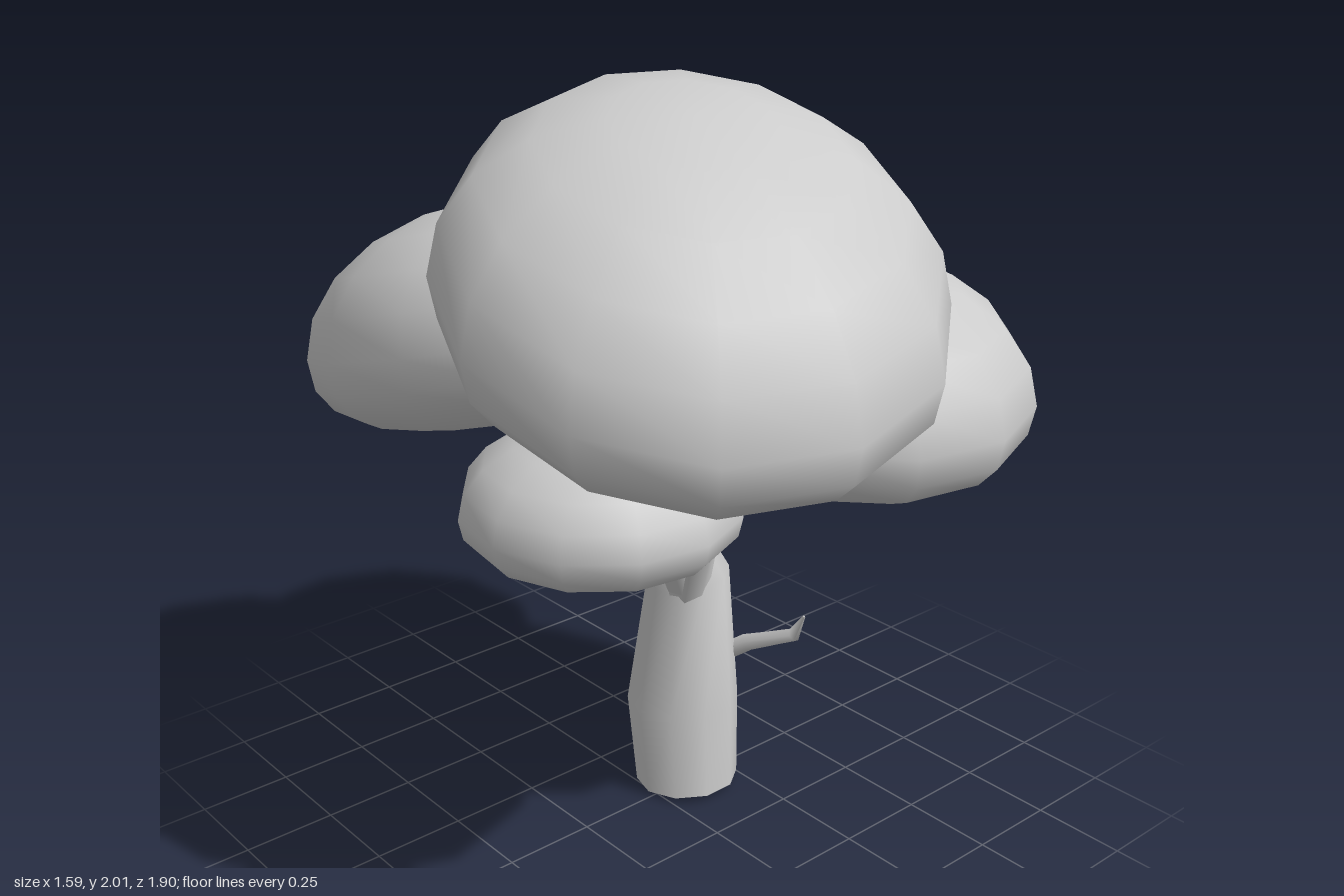
import * as THREE from 'three';
import { mergeVertices } from 'three/addons/utils/BufferGeometryUtils.js';

const UP = new THREE.Vector3(0, 1, 0);

function makeMesh(name, geometry, side = THREE.FrontSide) {
  const mesh = new THREE.Mesh(geometry, new THREE.MeshStandardMaterial({ color: 0xcccccc, side }));
  mesh.name = name;
  return mesh;
}

// Tapered limb: rings of radius r along nodes [x, y, z, r], closed at the tip
function limb(name, nodes, sides = 8) {
  const centres = nodes.map(([x, y, z]) => new THREE.Vector3(x, y, z));
  const last = centres.length - 1;
  const positions = [], index = [];
  for (let i = 0; i <= last + 1; i++) {
    const k = Math.min(i, last);
    const tangent = centres[Math.min(k + 1, last)].clone().sub(centres[Math.max(k - 1, 0)]).normalize();
    const turn = new THREE.Quaternion().setFromUnitVectors(UP, tangent);
    const r = i > last ? 0.0005 : nodes[k][3]; // extra ring closes the tip
    for (let j = 0; j < sides; j++) {
      const a = (j / sides) * Math.PI * 2;
      const p = new THREE.Vector3(Math.cos(a) * r, 0, Math.sin(a) * r).applyQuaternion(turn).add(centres[k]);
      positions.push(p.x, p.y, p.z);
      if (i <= last) {
        const p0 = i * sides + j, p1 = i * sides + (j + 1) % sides;
        index.push(p0, p0 + sides, p1, p1, p0 + sides, p1 + sides);
      }
    }
  }
  const geometry = new THREE.BufferGeometry();
  geometry.setAttribute('position', new THREE.Float32BufferAttribute(positions, 3));
  geometry.setIndex(index);
  geometry.computeVertexNormals();
  return makeMesh(name, geometry, THREE.DoubleSide);
}

// Leaf clump: domed top and flattened underside, slanted along x and z, then sized to a box
function clump(name, min, max, slantX, slantZ, spin = 0.1) {
  const profile = [];
  for (let i = 0; i <= 10; i++) {
    const t = (i / 10 - 0.5) * Math.PI;
    const c = i % 10 === 0 ? 0 : Math.cos(t), s = Math.sin(t);
    profile.push(s < 0
      ? new THREE.Vector2(c ** 0.65, -0.52 * Math.abs(s) ** 0.85)
      : new THREE.Vector2(c ** 0.95, 0.78 * s));
  }
  let geometry = new THREE.LatheGeometry(profile, 12);
  geometry.deleteAttribute('normal');
  geometry.deleteAttribute('uv');
  geometry = mergeVertices(geometry, 1e-4);
  geometry.rotateY(spin);
  const p = geometry.attributes.position;
  for (let i = 0; i < p.count; i++) p.setY(i, p.getY(i) + slantX * p.getX(i) + slantZ * p.getZ(i));
  geometry.computeBoundingBox();
  const size = geometry.boundingBox.getSize(new THREE.Vector3());
  const mid = geometry.boundingBox.getCenter(new THREE.Vector3());
  const lo = new THREE.Vector3(...min), hi = new THREE.Vector3(...max);
  const scale = hi.clone().sub(lo).divide(size);
  const target = lo.add(hi).multiplyScalar(0.5);
  geometry.translate(-mid.x, -mid.y, -mid.z).scale(scale.x, scale.y, scale.z);
  geometry.translate(target.x, target.y, target.z);
  geometry.computeVertexNormals();
  return makeMesh(name, geometry);
}

export function createModel() {
  const tree = new THREE.Group();
  tree.name = 'tree';

  // Trunk, open at the foot and leaning over at the top
  tree.add(limb('trunk', [
    [0.12, 0, -0.01, 0.142], [0.12, 0.25, -0.03, 0.154],
    [0.135, 0.62, -0.03, 0.115], [0.01, 0.96, -0.09, 0.06],
  ], 10));

  // Branches carrying the leaf clumps
  tree.add(limb('frontBranch', [
    [0.1, 0.58, 0.0, 0.06], [0.06, 0.76, 0.075, 0.063],
    [-0.03, 0.92, 0.15, 0.052], [-0.14, 1.04, 0.26, 0.04], [-0.25, 1.12, 0.34, 0.03],
  ]));
  tree.add(limb('sideBranch', [
    [0.07, 0.64, 0.02, 0.05], [-0.05, 0.84, 0.09, 0.045],
    [-0.17, 1.0, 0.2, 0.035], [-0.27, 1.1, 0.25, 0.025],
  ]));
  tree.add(limb('upperBranch', [
    [0.0, 0.9, -0.09, 0.05], [0.08, 1.03, -0.13, 0.045],
    [0.2, 1.18, -0.15, 0.038], [0.38, 1.32, -0.15, 0.028],
  ]));
  tree.add(limb('backBranch', [
    [0.01, 0.9, -0.1, 0.048], [0.12, 1.04, -0.27, 0.038],
    [0.25, 1.12, -0.41, 0.032], [0.28, 1.2, -0.44, 0.022],
  ]));
  tree.add(limb('rearBranch', [
    [0.01, 0.9, -0.1, 0.05], [-0.1, 1.04, -0.19, 0.04], [-0.28, 1.18, -0.32, 0.03],
  ]));

  // Bare twig on the trunk
  tree.add(limb('twig', [
    [0.23, 0.35, 0.0, 0.026], [0.26, 0.41, 0.08, 0.026],
    [0.32, 0.46, 0.2, 0.02], [0.305, 0.54, 0.25, 0.004],
  ], 6));

  // Leaf clumps: box corners, then slants
  tree.add(clump('topFoliage', [-0.8, 1.22, -0.2], [0.37, 2.0, 0.95], 0.15, -0.37, -0.1));
  tree.add(clump('lowFoliage', [-0.77, 0.98, 0], [-0.13, 1.3, 0.66], 0.02, 0));
  tree.add(clump('frontFoliage', [-0.17, 1.02, -0.15], [0.79, 1.55, 0.82], 0, -0.1));
  tree.add(clump('sideFoliage', [-0.07, 1.24, -0.57], [0.77, 1.79, 0.27], 0, 0.07, -0.15));
  tree.add(clump('backFoliage', [-0.67, 0.98, -0.95], [0.24, 1.67, 0.12], -0.03, 0.32, -0.1));

  return tree;
}
